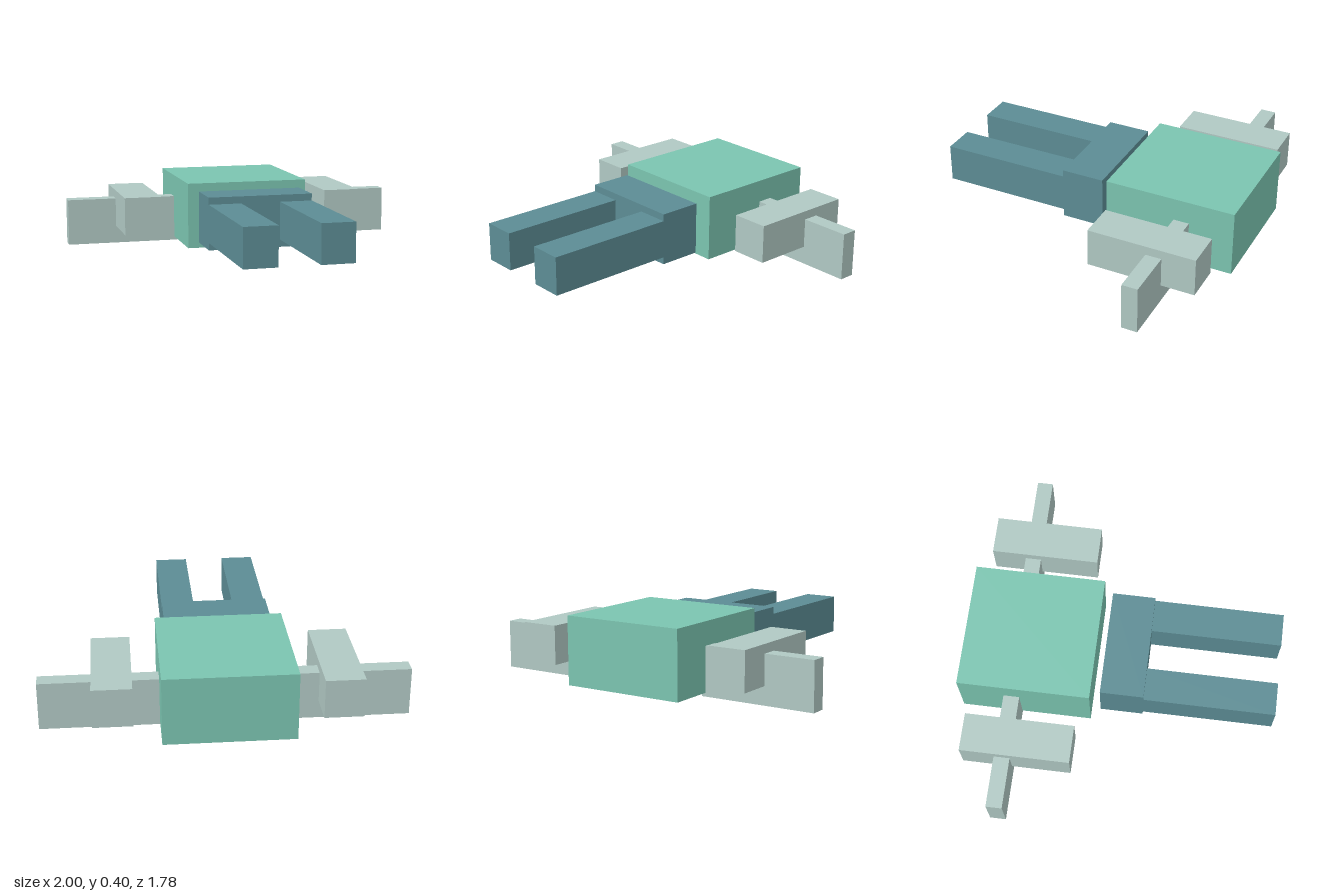
import * as THREE from 'three';

const paint = (name, color) => {
  const m = new THREE.MeshStandardMaterial({ color });
  m.name = name;
  return m;
};

export function createModel() {
  const model = new THREE.Group();
  model.name = 'blockModel';
  const green = paint('mint green', 0x7bc4b0);
  const grey = paint('pale grey green', 0xb0c8c3);
  const teal = paint('dark teal', 0x5c8c94);

  // Box given by its lower and upper limits on each axis
  const block = (name, material, [x0, x1], [y0, y1], [z0, z1]) => {
    const mesh = new THREE.Mesh(new THREE.BoxGeometry(x1 - x0, y1 - y0, z1 - z0), material);
    mesh.position.set((x0 + x1) / 2, (y0 + y1) / 2, (z0 + z1) / 2);
    mesh.name = name;
    model.add(mesh);
  };

  // Central blocks
  block('body', green, [-0.355, 0.355], [0.02, 0.4], [-0.892, -0.147]);
  block('crossBlock', teal, [-0.302, 0.302], [0.06, 0.36], [-0.095, 0.15]);

  // Paired parts, mirrored in x
  for (const [side, s] of [['left', 1], ['right', -1]]) {
    const span = (a, b) => (s > 0 ? [a, b] : [-b, -a]);
    block(side + 'Prong', teal, span(0.114, 0.302), [0.102, 0.32], [0.15, 0.892]);
    block(side + 'Wing', grey, span(0.335, 1), [0, 0.27], [-0.638, -0.548]);
    block(side + 'Pod', grey, span(0.5, 0.714), [0.102, 0.32], [-0.828, -0.213]);
  }
  return model;
}
